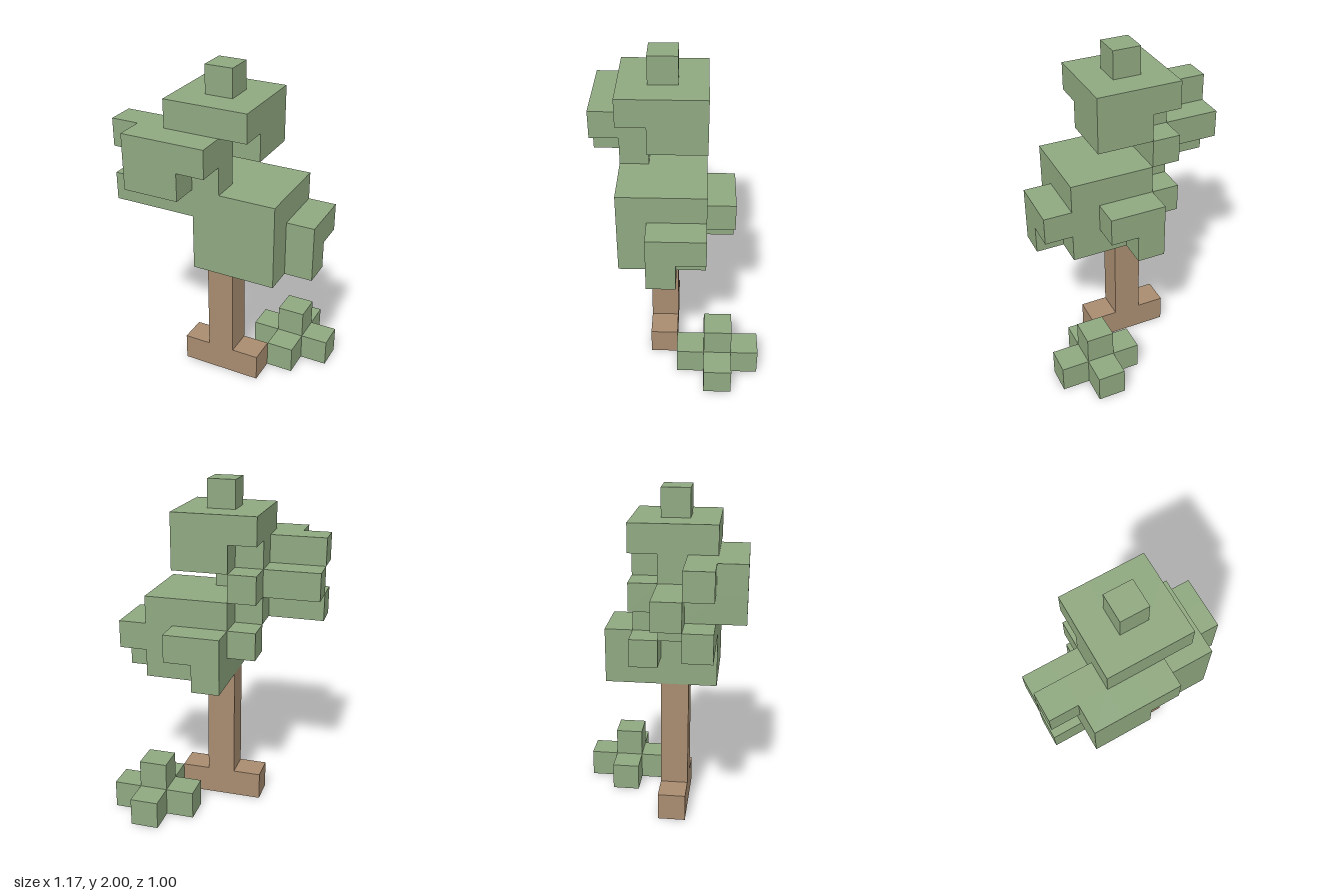
import * as THREE from 'three';
import { mergeGeometries } from 'three/addons/utils/BufferGeometryUtils.js';

const S = 1 / 6; // edge of one block

// Rows of blocks: [level, depth, first column, last column]
const PARTS = {
  rootBar: { mat: 'bark', rows: [[0, 3, 2, 4]] },
  trunk: { mat: 'bark', rows: [1, 2, 3, 4].map((y) => [y, 3, 3, 3]) },
  bush: { mat: 'leaf', rows: [[0, 0, 5, 5], [0, 1, 4, 6], [0, 2, 5, 5], [1, 1, 5, 5]] },
  crown: {
    mat: 'leaf',
    rows: [
      // lower mass
      [5, 1, 3, 3], [5, 2, 3, 5], [5, 3, 3, 6], [5, 4, 3, 5],
      [6, 1, 3, 4], [6, 2, 2, 6], [6, 3, 3, 6], [6, 4, 3, 5],
      [7, 2, 3, 5], [7, 3, 2, 5], [7, 4, 0, 5],
      // side branch
      [8, 2, 2, 2], [8, 3, 0, 2], [8, 4, 1, 3], [8, 5, 1, 2],
      [9, 2, 3, 4], [9, 3, 2, 4], [9, 4, 0, 3], [9, 5, 1, 3],
      // cap and tip
      [10, 2, 2, 4], [10, 3, 2, 4], [10, 4, 2, 4],
      [11, 3, 3, 3],
    ],
  },
};

// Outer faces of a block; the undersides stay open
const FACES = [
  [0, 0, 1, (g) => g],
  [0, 0, -1, (g) => g.rotateY(Math.PI)],
  [1, 0, 0, (g) => g.rotateY(Math.PI / 2)],
  [-1, 0, 0, (g) => g.rotateY(-Math.PI / 2)],
  [0, 1, 0, (g) => g.rotateX(-Math.PI / 2)],
];

const key = (x, y, z) => `${x},${y},${z}`;

function cellsOf(rows) {
  const cells = [];
  for (const [y, z, x0, x1] of rows) for (let x = x0; x <= x1; x++) cells.push([x, y, z]);
  return cells;
}

// Skin of a set of blocks, leaving out faces between neighbours
function skin(cells, filled) {
  const faces = [];
  for (const [x, y, z] of cells) {
    for (const [dx, dy, dz, turn] of FACES) {
      if (filled.has(key(x + dx, y + dy, z + dz))) continue;
      const g = new THREE.PlaneGeometry(S, S).translate(0, 0, S / 2);
      faces.push(turn(g).translate((x - 3) * S, (y + 0.5) * S, (z - 2.5) * S));
    }
  }
  return mergeGeometries(faces);
}

export function createModel() {
  const materials = {
    leaf: new THREE.MeshStandardMaterial({ name: 'leafGreen', color: 0x8fa880, side: THREE.DoubleSide }),
    bark: new THREE.MeshStandardMaterial({ name: 'barkBrown', color: 0xa88c70, side: THREE.DoubleSide }),
  };
  const filled = new Set();
  for (const { rows } of Object.values(PARTS)) cellsOf(rows).forEach((c) => filled.add(key(...c)));

  const tree = new THREE.Group();
  tree.name = 'blockTree';
  for (const [name, { mat, rows }] of Object.entries(PARTS)) {
    const mesh = new THREE.Mesh(skin(cellsOf(rows), filled), materials[mat]);
    mesh.name = name;
    tree.add(mesh);
  }
  return tree;
}
